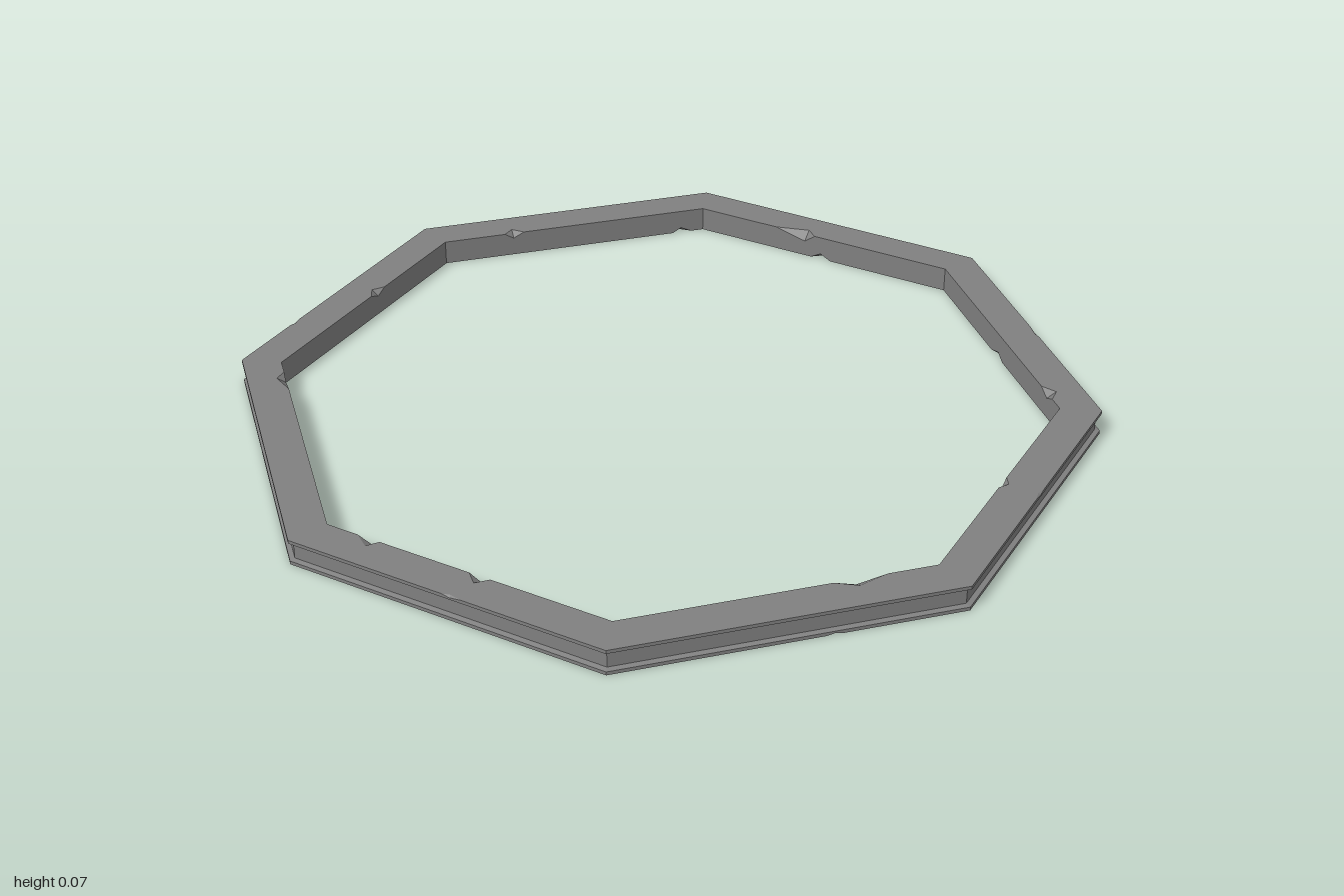
import * as THREE from 'three';

const SIDES = 8;
const SLOPE = Math.tan(Math.PI / SIDES);

// Ring cross-section as [radius, height]: flat inside, grooved outside
const PROFILE = [
  [0.905, 0], [0.905, 0.066], [1, 0.066], [1, 0.057],
  [0.988, 0.054], [0.988, 0.012], [1, 0.009], [1, 0],
];
const N = PROFILE.length;
const INNER_BOTTOM = 0, INNER_TOP = 1, OUTER_TOP = 2, OUTER_BOTTOM = 7;

// Chips per side: [profile edge, start, deepest, end, cut into face before, cut into face after]
const CHIPS = [
  [[INNER_TOP, -0.29, -0.25, -0.23, 0.015, 0.028], [INNER_TOP, 0.01, 0.04, 0.065, 0.015, 0.028],
    [OUTER_TOP, 0, 0.02, 0.05, 0.006, 0.004]],
  [[INNER_TOP, 0.127, 0.18, 0.255, 0.015, 0.025], [INNER_BOTTOM, -0.335, -0.31, -0.29, 0.02, 0.014],
    [OUTER_BOTTOM, 0.08, 0.1, 0.12, 0.004, 0.006]],
  [[INNER_TOP, -0.025, 0, 0.025, 0.012, 0.015], [OUTER_TOP, -0.03, 0, 0.02, 0.006, 0.004]],
  [[INNER_TOP, -0.33, -0.3, -0.265, 0.015, 0.025], [INNER_BOTTOM, -0.03, 0, 0.04, 0.02, 0.015],
    [OUTER_TOP, -0.04, -0.01, 0.02, 0.006, 0.004]],
  [[INNER_TOP, 0.02, 0.05, 0.14, 0.022, 0.026], [INNER_BOTTOM, -0.03, 0, 0.03, 0.025, 0.016]],
  [[INNER_TOP, 0.15, 0.18, 0.205, 0.015, 0.024], [INNER_BOTTOM, -0.34, -0.31, -0.285, 0.02, 0.014]],
  [[INNER_TOP, -0.08, -0.05, -0.02, 0.014, 0.02], [OUTER_TOP, 0.17, 0.19, 0.21, 0.006, 0.004]],
  [[INNER_TOP, -0.325, -0.3, -0.24, 0.016, 0.022], [INNER_BOTTOM, 0, 0.03, 0.06, 0.02, 0.014],
    [OUTER_BOTTOM, -0.1, -0.08, -0.06, 0.004, 0.006]],
];

// Length, direction and outward normal of profile face i
function faceInfo(i) {
  const a = PROFILE[i], b = PROFILE[(i + 1) % N];
  const dr = b[0] - a[0], dy = b[1] - a[1], len = Math.hypot(dr, dy);
  return { a, len, dr: dr / len, dy: dy / len, normal: new THREE.Vector3(0, dr / len, -dy / len) };
}

// One straight side, built facing +z with x along its length
function sideGeometry(chips) {
  const positions = [];
  const addTriangle = (a, b, c, outward) => {
    const n = b.clone().sub(a).cross(c.clone().sub(a));
    const order = n.dot(outward) >= 0 ? [a, b, c] : [a, c, b];
    order.forEach(p => positions.push(p.x, p.y, p.z));
  };
  const onFace = (f, u, s) => new THREE.Vector3(u, f.a[1] + f.dy * s, f.a[0] + f.dr * s);

  for (let i = 0; i < N; i++) {
    const f = faceInfo(i), next = (i + 1) % N;
    // Outline in (length, across) with notches along both long edges
    const edge = (index, s, inset) => {
      const half = PROFILE[index][0] * SLOPE;
      const points = [new THREE.Vector2(-half, s)];
      for (const chip of chips.filter(c => c[0] === index).sort((p, q) => p[1] - q[1])) {
        points.push(new THREE.Vector2(chip[1], s), new THREE.Vector2(chip[2], inset(chip)),
          new THREE.Vector2(chip[3], s));
      }
      points.push(new THREE.Vector2(half, s));
      return points;
    };
    const outline = [...edge(i, 0, c => c[5]), ...edge(next, f.len, c => f.len - c[4]).reverse()];
    for (const t of THREE.ShapeUtils.triangulateShape(outline, [])) {
      addTriangle(...t.map(k => onFace(f, outline[k].x, outline[k].y)), f.normal);
    }
  }

  // Two broken facets close each chip
  for (const [index, start, mid, end, before, after] of chips) {
    const f0 = faceInfo((index + N - 1) % N), f1 = faceInfo(index);
    const outward = f0.normal.clone().add(f1.normal);
    const p = onFace(f0, mid, f0.len - before), q = onFace(f1, mid, after);
    addTriangle(onFace(f1, start, 0), p, q, outward);
    addTriangle(onFace(f1, end, 0), p, q, outward);
  }

  const geometry = new THREE.BufferGeometry();
  geometry.setAttribute('position', new THREE.Float32BufferAttribute(positions, 3));
  geometry.computeVertexNormals();
  return geometry;
}

export function createModel() {
  const stone = new THREE.MeshStandardMaterial({ color: 0x808080 });
  stone.name = 'grey stone';
  const group = new THREE.Group();
  group.name = 'octagonalRing';
  CHIPS.forEach((chips, k) => {
    const side = new THREE.Mesh(sideGeometry(chips), stone);
    side.name = `ringSide${k + 1}`;
    side.rotation.y = k * 2 * Math.PI / SIDES;
    group.add(side);
  });
  return group;
}
